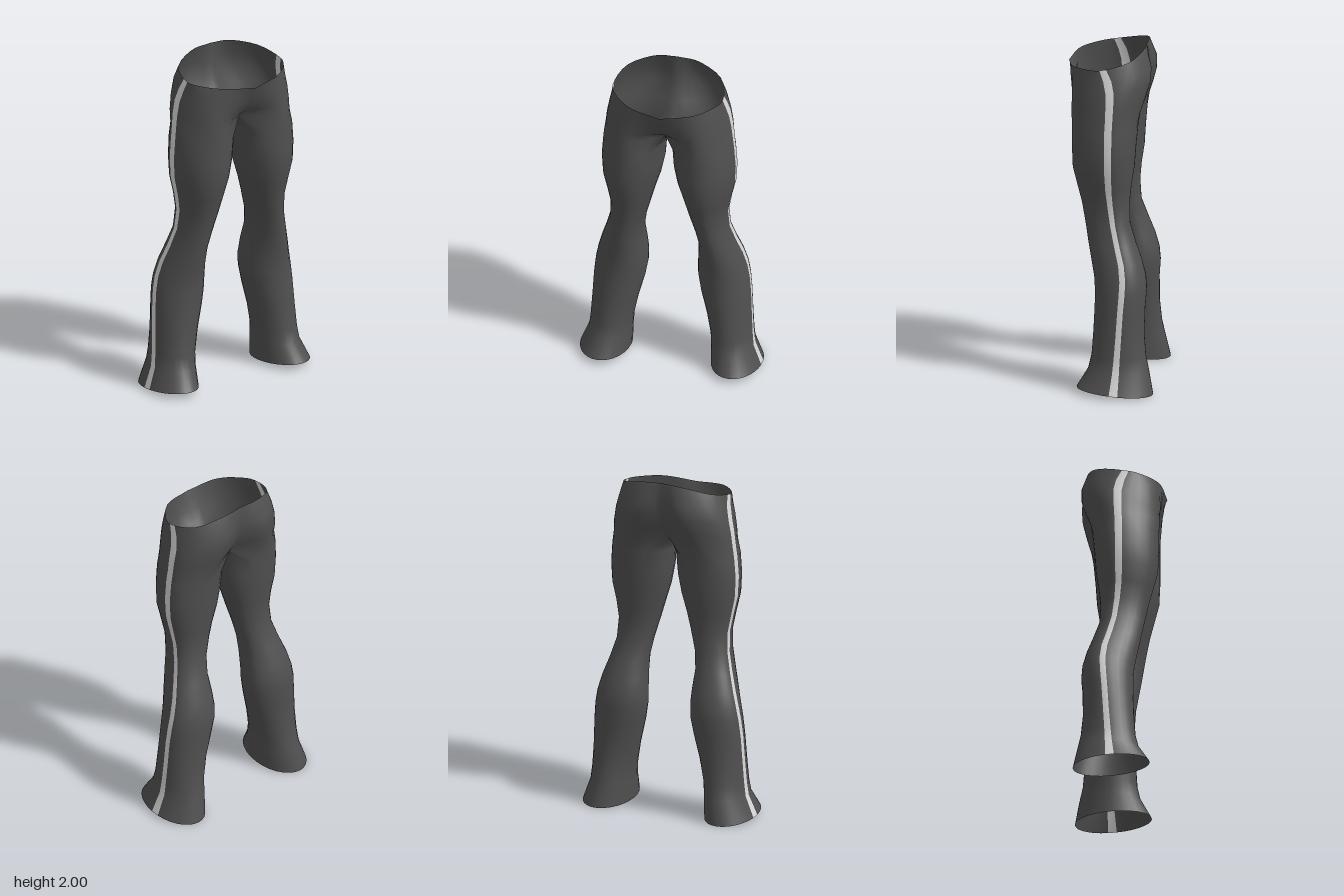
import * as THREE from 'three';
import { mergeVertices } from 'three/addons/utils/BufferGeometryUtils.js';

const cloth = new THREE.MeshStandardMaterial({ color: 0x505050, side: THREE.DoubleSide });
cloth.name = 'charcoal cloth';
const trim = new THREE.MeshStandardMaterial({ color: 0xd8d8d8, side: THREE.DoubleSide });
trim.name = 'light side stripe';

// Leg sections: y, outer x, inner x, front z, back z, z of the side seam
const LEG = [
  [0.018, 0.535, 0.24, 0.175, -0.268, -0.055],
  [0.14, 0.487, 0.236, 0.112, -0.24, -0.062],
  [0.22, 0.479, 0.23, 0.093, -0.222, -0.068],
  [0.35, 0.472, 0.205, 0.085, -0.21, -0.078],
  [0.50, 0.465, 0.167, 0.08, -0.212, -0.088],
  [0.60, 0.455, 0.15, 0.08, -0.22, -0.096],
  [0.68, 0.44, 0.15, 0.086, -0.214, -0.1],
  [0.77, 0.415, 0.157, 0.103, -0.19, -0.09],
  [0.87, 0.382, 0.163, 0.122, -0.153, -0.062],
  [0.98, 0.352, 0.145, 0.142, -0.116, -0.035],
  [1.10, 0.346, 0.112, 0.166, -0.111, -0.018],
  [1.20, 0.364, 0.085, 0.192, -0.12, -0.01],
  [1.31, 0.389, 0.052, 0.22, -0.137, -0.01],
  [1.43, 0.396, 0.028, 0.226, -0.145, -0.01],
  [1.55, 0.387, 0.02, 0.226, -0.156, -0.01],
];

// Hip sections, crotch to waist: points from front centre round the side to back centre
const HIPS = [
  [[0, 1.65, 0.11], [0.2, 1.64, 0.228], [0.32, 1.63, 0.15], [0.378, 1.63, -0.01],
    [0.32, 1.63, -0.115], [0.19, 1.64, -0.17], [0, 1.65, -0.1]],
  [[0, 1.7, 0.175], [0.19, 1.7, 0.23], [0.315, 1.7, 0.15], [0.37, 1.7, -0.012],
    [0.318, 1.7, -0.13], [0.17, 1.71, -0.195], [0, 1.71, -0.14]],
  [[0, 1.77, 0.22], [0.18, 1.77, 0.232], [0.302, 1.78, 0.155], [0.355, 1.78, -0.012],
    [0.302, 1.79, -0.145], [0.15, 1.8, -0.22], [0, 1.8, -0.175]],
  [[0, 1.83, 0.25], [0.18, 1.84, 0.235], [0.29, 1.85, 0.15], [0.338, 1.85, 0.005],
    [0.285, 1.87, -0.145], [0.14, 1.88, -0.222], [0, 1.89, -0.188]],
  [[0, 1.875, 0.27], [0.18, 1.895, 0.23], [0.29, 1.905, 0.13], [0.325, 1.915, 0.035],
    [0.275, 1.95, -0.11], [0.13, 1.99, -0.18], [0, 2.0, -0.185]],
];

const STEPS = 10;           // columns on each side of the stripe
const INNER = 8;            // columns on the inner thigh
const HALF_STRIPE = 0.026;  // half the stripe width along the outer arc
const ARC = THREE.MathUtils.degToRad(250);

// Positions along the outer arc, 0 at front centre and 1 at back centre
const outer = [];
for (let i = 0; i <= STEPS; i++) outer.push((0.5 - HALF_STRIPE) * i / STEPS);
for (let i = 0; i <= STEPS; i++) outer.push(0.5 + HALF_STRIPE + (0.5 - HALF_STRIPE) * i / STEPS);

// Closed section of a leg
function legRing([y, xo, xi, zf, zb, zs], row) {
  const angles = outer.map(u => (0.5 - u) * ARC);
  for (let i = 1; i < INNER; i++) angles.push(-ARC / 2 - (2 * Math.PI - ARC) * i / INNER);
  return angles.map(a => {
    const s = Math.sin(a);
    const tilt = row === 0 ? 0.018 * s : 0; // the hem is higher in front
    return [
      (xo + xi) / 2 + Math.cos(a) * (xo - xi) / 2,
      y + tilt,
      zs + s * (s > 0 ? zf - zs : zs - zb),
    ];
  });
}

// Open half section of the hips
function hipArc(points) {
  const curve = new THREE.CatmullRomCurve3(points.map(p => new THREE.Vector3(...p)), false, 'catmullrom', 0.5);
  return outer.map(u => {
    const p = curve.getPoint(u);
    return [u === 0 || u === 1 ? 0 : Math.max(p.x, 0), p.y, p.z];
  });
}

// Crotch seam running under the body from back to front
function crotchSeam() {
  const seam = [];
  for (let i = 1; i < INNER; i++) {
    const t = i / INNER, s = 2 * t - 1;
    seam.push([0, 1.615 + 0.035 * s * s, -0.1 + 0.21 * t]);
  }
  return seam;
}

function createTrousers() {
  const hips = HIPS.map(hipArc);
  const legs = LEG.map(legRing);
  legs.push([...hips[0], ...crotchSeam()]);

  const clothVerts = [], stripeVerts = [];
  const addStrip = (low, high, closed, side) => {
    const n = low.length;
    for (let j = 0; j < (closed ? n : n - 1); j++) {
      const k = (j + 1) % n;
      const quad = [low[j], low[k], high[k], low[j], high[k], high[j]];
      if (side < 0) quad.reverse();
      const target = j === STEPS ? stripeVerts : clothVerts;
      for (const [x, y, z] of quad) target.push(x * side, y, z);
    }
  };
  for (const side of [1, -1]) {
    for (let i = 0; i < legs.length - 1; i++) addStrip(legs[i], legs[i + 1], true, side);
    for (let i = 0; i < hips.length - 1; i++) addStrip(hips[i], hips[i + 1], false, side);
  }

  let geometry = new THREE.BufferGeometry();
  geometry.setAttribute('position', new THREE.Float32BufferAttribute([...clothVerts, ...stripeVerts], 3));
  geometry.addGroup(0, clothVerts.length / 3, 0);
  geometry.addGroup(clothVerts.length / 3, stripeVerts.length / 3, 1);
  geometry = mergeVertices(geometry, 1e-5);
  geometry.computeVertexNormals();

  const mesh = new THREE.Mesh(geometry, [cloth, trim]);
  mesh.name = 'trousersWithSideStripes';
  return mesh;
}

export function createModel() {
  const model = new THREE.Group();
  model.name = 'trousers';
  model.add(createTrousers());
  return model;
}
